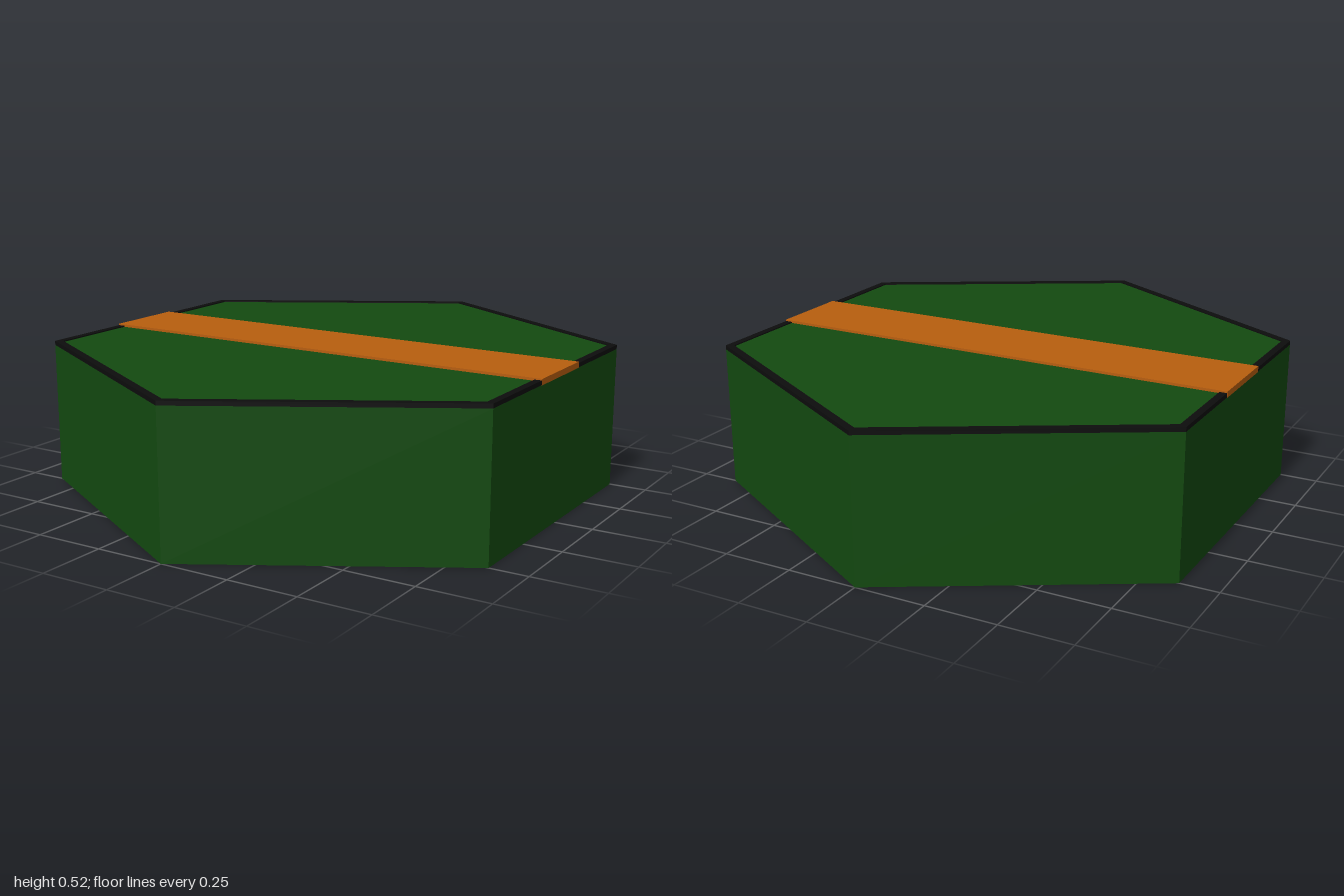
import * as THREE from 'three';

const mat = (color, side = THREE.FrontSide) =>
  new THREE.MeshStandardMaterial({ color, side, flatShading: true });

// Hexagon corners with points towards +z and -z
function hexPoints(radius) {
  const pts = [];
  for (let i = 0; i < 6; i++) {
    const a = Math.PI / 2 + (i * Math.PI) / 3;
    pts.push(new THREE.Vector2(radius * Math.cos(a), radius * Math.sin(a)));
  }
  return pts;
}

export function createModel() {
  const group = new THREE.Group();
  const add = (name, geometry, material) => {
    const mesh = new THREE.Mesh(geometry, material);
    mesh.name = name;
    group.add(mesh);
    return mesh;
  };

  const wallHeight = 0.5;
  const rimHeight = 0.015;
  const innerRadius = 0.97;
  const green = mat(0x134a10, THREE.DoubleSide);

  // Thin side walls, open underneath
  const walls = new THREE.CylinderGeometry(1, 1, wallHeight, 6, 1, true);
  add('walls', walls, green).position.y = wallHeight / 2;

  // Black border around the top
  const ring = new THREE.Shape(hexPoints(1));
  ring.holes.push(new THREE.Path(hexPoints(innerRadius).reverse()));
  const rim = new THREE.ExtrudeGeometry(ring, { depth: rimHeight, bevelEnabled: false });
  rim.rotateX(-Math.PI / 2);
  add('rim', rim, mat(0x0d0d0d)).position.y = wallHeight;

  // Top sheet inside the border
  const top = new THREE.ShapeGeometry(new THREE.Shape(hexPoints(innerRadius)));
  top.rotateX(-Math.PI / 2);
  add('topSurface', top, green).position.y = wallHeight + 0.011;

  // Raised band across the middle
  const band = new THREE.BoxGeometry(Math.sqrt(3) + 0.002, 0.021, 0.3);
  add('stripe', band, mat(0xb85e0e)).position.y = wallHeight + 0.0095;

  return group;
}
